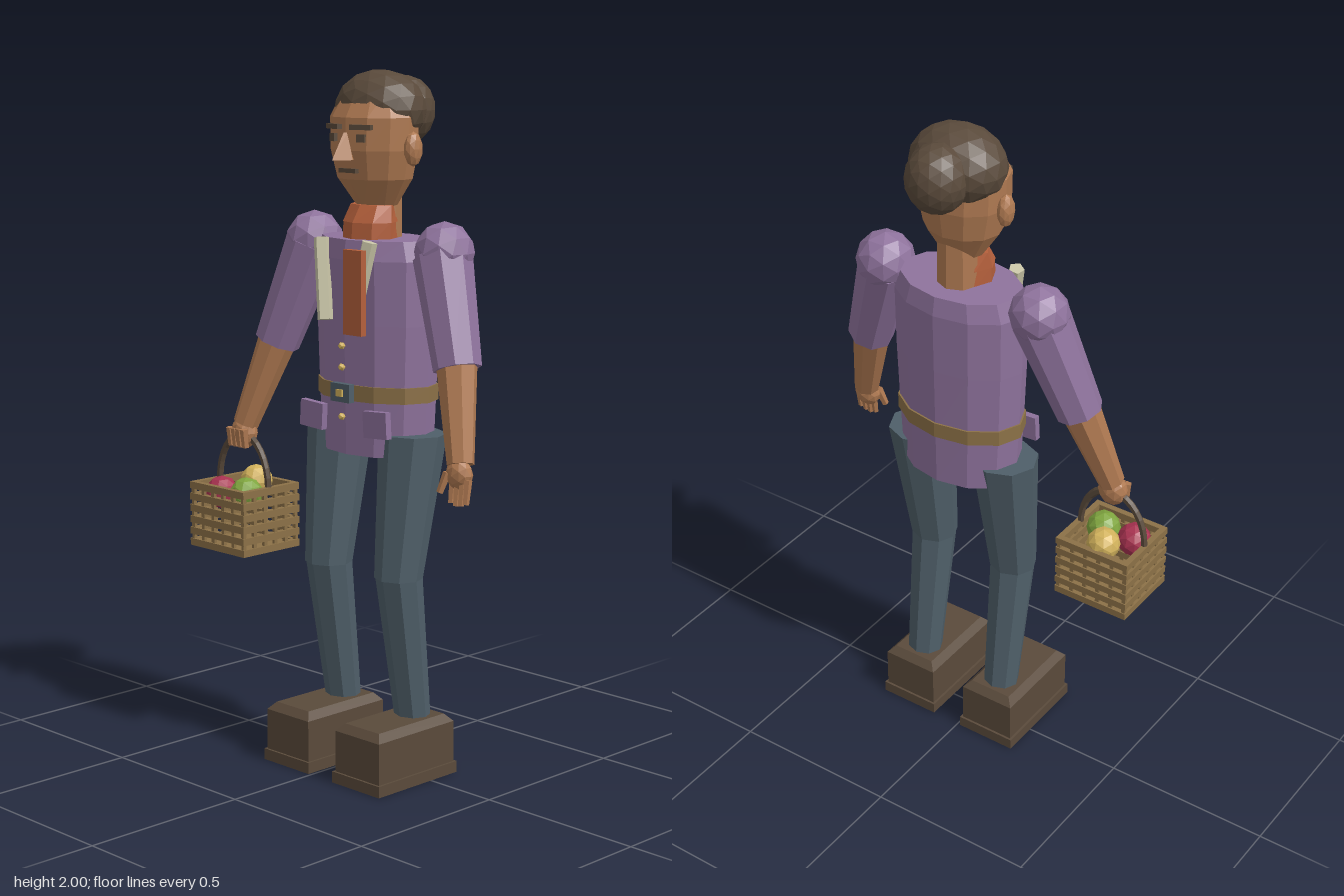
import * as THREE from 'three';

const mat = (name, color) => {
  const m = new THREE.MeshStandardMaterial({ color });
  m.name = name;
  return m;
};

export function createModel() {
  const purple = mat('purple cloth', 0x8f739d);
  const slate = mat('slate cloth', 0x4f5f69);
  const skin = mat('skin', 0xb07a52);
  const brown = mat('dark brown', 0x5a4a3b);
  const orange = mat('orange scarf', 0xb5603c);
  const cream = mat('cream', 0xc8c4a6);
  const tan = mat('tan', 0x8c7147);
  const red = mat('red fruit', 0xa83250);
  const green = mat('green fruit', 0x7fa53f);
  const yellow = mat('yellow', 0xd2b25c);

  const model = new THREE.Group();
  model.name = 'villager';
  const body = new THREE.Group();
  body.name = 'figure';
  body.position.x = 0.04;
  model.add(body);

  // Adds a faceted mesh
  const add = (name, geo, material, pos = [0, 0, 0], parent = body) => {
    const g = geo.index ? geo.toNonIndexed() : geo;
    g.computeVertexNormals();
    const mesh = new THREE.Mesh(g, material);
    mesh.name = name;
    mesh.position.set(...pos);
    parent.add(mesh);
    return mesh;
  };
  const box = (name, size, pos, material, parent) =>
    add(name, new THREE.BoxGeometry(...size), material, pos, parent);
  const ball = (name, pos, [rx, ry, rz], material, detail = 1, parent = body) =>
    add(name, new THREE.IcosahedronGeometry(1, detail).scale(rx, ry, rz), material, pos, parent);

  // Tapered limb between two points
  const limb = (name, a, b, ra, rb, material, sides = 8, parent = body) => {
    const p = new THREE.Vector3(...a), q = new THREE.Vector3(...b);
    const dir = q.clone().sub(p);
    const m = add(name, new THREE.CylinderGeometry(rb, ra, dir.length(), sides), material,
      p.clone().add(q).multiplyScalar(0.5).toArray(), parent);
    m.quaternion.setFromUnitVectors(new THREE.Vector3(0, 1, 0), dir.normalize());
    return m;
  };

  // Closed loft through elliptical rings [y, cx, cz, rx, rz], bottom to top
  const loft = (rings, n) => {
    const pos = [], idx = [];
    rings.forEach(([y, cx, cz, rx, rz]) => {
      for (let j = 0; j < n; j++) {
        const a = (j / n) * Math.PI * 2;
        pos.push(cx + rx * Math.sin(a), y, cz + rz * Math.cos(a));
      }
    });
    for (let i = 0; i < rings.length - 1; i++) {
      for (let j = 0; j < n; j++) {
        const a = i * n + j, b = i * n + (j + 1) % n;
        idx.push(a, b, b + n, a, b + n, a + n);
      }
    }
    const top = (rings.length - 1) * n;
    for (let j = 1; j < n - 1; j++) idx.push(0, j + 1, j, top, top + j, top + j + 1);
    const g = new THREE.BufferGeometry();
    g.setAttribute('position', new THREE.Float32BufferAttribute(pos, 3));
    g.setIndex(idx);
    return g;
  };

  // Coat, belt and fastenings
  add('coat', loft([
    [0.93, 0, -0.02, 0.185, 0.125], [1.1, 0, -0.02, 0.195, 0.128],
    [1.3, 0, -0.02, 0.203, 0.132], [1.48, 0, -0.02, 0.205, 0.135], [1.535, 0, -0.02, 0.185, 0.125],
  ], 12), purple);
  add('belt', loft([[1.085, 0, -0.02, 0.201, 0.134], [1.13, 0, -0.02, 0.201, 0.134]], 12), tan);
  box('buckle', [0.075, 0.052, 0.02], [0, 1.108, 0.12], slate);
  box('bucklePin', [0.025, 0.02, 0.008], [0, 1.108, 0.131], yellow);
  [1.24, 1.18, 1.04].forEach((y) => ball('button', [0, y, 0.122], [0.011, 0.011, 0.011], yellow, 0));

  // Neck and wrapped scarf
  add('neck', new THREE.CylinderGeometry(0.06, 0.062, 0.18, 8), skin, [0, 1.58, -0.03]);
  add('scarfLower', loft([[1.525, 0, 0.01, 0.08, 0.074], [1.58, 0, 0.01, 0.08, 0.07]], 8), orange);
  add('scarfUpper', loft([[1.58, 0, 0.01, 0.083, 0.07], [1.628, 0, 0, 0.074, 0.05]], 8), orange);
  box('scarfEnd', [0.07, 0.235, 0.02], [0.08, 1.398, 0.15], orange);

  // Head and face
  add('head', loft([
    [1.625, 0, -0.015, 0.065, 0.05], [1.7, 0, -0.008, 0.115, 0.098], [1.78, 0, -0.005, 0.134, 0.113],
    [1.87, 0, -0.005, 0.137, 0.11], [1.95, 0, -0.01, 0.1, 0.07], [1.985, 0, -0.015, 0.03, 0.02],
  ], 12), skin);
  add('nose', loft([[1.755, 0, 0.105, 0.027, 0.053], [1.83, 0, 0.103, 0.006, 0.01]], 4), skin);
  box('mouth', [0.066, 0.012, 0.02], [0, 1.725, 0.091], brown);
  ball('hair', [0, 1.89, -0.03], [0.142, 0.11, 0.115], brown, 2);
  ball('hairBun', [0, 1.885, -0.125], [0.088, 0.098, 0.09], brown, 2);

  // Mirrored parts: s = +1 is the model's left
  for (const s of [1, -1]) {
    const side = new THREE.Group();
    side.name = s > 0 ? 'leftSide' : 'rightSide';
    body.add(side);

    const brow = box('eyebrow', [0.066, 0.014, 0.02], [s * 0.052, 1.845, 0.097], brown, side);
    brow.rotation.y = s * 0.3;
    const eye = box('eye', [0.026, 0.022, 0.016], [s * 0.053, 1.815, 0.097], brown, side);
    eye.rotation.y = s * 0.3;
    ball('ear', [s * 0.142, 1.785, -0.015], [0.022, 0.048, 0.03], skin, 1, side);

    limb('lapel', [s * 0.095, 1.535, 0.108], [s * 0.052, 1.31, 0.135], 0.023, 0.023, cream, 5, side);
    const pocket = box('pocket', [0.09, 0.075, 0.02], [s * 0.127, 1.03, 0.11], purple, side);
    pocket.rotation.z = s * 0.06;

    // Arm
    ball('shoulder', [s * 0.257, 1.51, -0.02], [0.085, 0.085, 0.085], purple, 1, side);
    limb('sleeve', [s * 0.255, 1.5, -0.015], [s * 0.36, 1.205, 0.035], 0.083, 0.067, purple, 8, side);
    limb('forearm', [s * 0.347, 1.25, 0.027], [s * 0.432, 0.96, 0.098], 0.06, 0.038, skin, 8, side);

    // Leg and shoe
    add('thigh', loft([[0.585, s * 0.142, 0.038, 0.07, 0.068], [0.995, s * 0.145, -0.015, 0.098, 0.095]], 8), slate, undefined, side);
    add('shin', loft([[0.17, s * 0.142, -0.02, 0.054, 0.05], [0.6, s * 0.142, 0.038, 0.069, 0.066]], 8), slate, undefined, side);
    const w = 0.067, l = 0.132;
    const outline = new THREE.Shape([[-w, -l], [w, -l], [w, l], [-w, l]].map((p) => new THREE.Vector2(...p)));
    const upper = new THREE.ExtrudeGeometry(outline, {
      depth: 0.12, bevelEnabled: true, bevelSize: 0.02, bevelThickness: 0.022, bevelSegments: 1,
    }).rotateX(-Math.PI / 2);
    add('shoe', upper, brown, [s * 0.143, 0.033, 0.052], side);
    box('sole', [0.188, 0.033, 0.318], [s * 0.143, 0.0165, 0.052], brown, side);
  }

  // Open left hand
  ball('leftPalm', [0.434, 0.935, 0.105], [0.042, 0.044, 0.032], skin);
  for (let i = 0; i < 4; i++) {
    const x = 0.418 + i * 0.018;
    limb('finger', [x, 0.925, 0.112], [x + 0.002, 0.85 + Math.abs(i - 1.3) * 0.006, 0.122], 0.012, 0.009, skin, 5);
  }
  limb('thumb', [0.41, 0.94, 0.125], [0.396, 0.885, 0.14], 0.013, 0.01, skin, 5);

  // Right fist around the handle
  ball('rightFist', [-0.436, 0.935, 0.1], [0.045, 0.05, 0.036], skin);
  for (let i = 0; i < 4; i++) {
    const x = -0.466 + i * 0.02;
    limb('grippingFinger', [x, 0.95, 0.128], [x, 0.895, 0.122], 0.013, 0.011, skin, 5);
  }

  // Basket of fruit
  const basket = new THREE.Group();
  basket.name = 'basket';
  basket.position.set(-0.4, 0, 0.098);
  model.add(basket);
  const hx = 0.11, hz = 0.102;
  box('basketFloor', [0.22, 0.015, 0.205], [0, 0.597, 0], tan, basket);
  for (let i = 0; i < 6; i++) {
    const y = 0.601 + i * 0.0345;
    for (const s of [1, -1]) {
      box('slat', [0.238, 0.021, 0.018], [0, y, s * hz], tan, basket);
      box('slat', [0.018, 0.021, 0.222], [s * hx, y, 0], tan, basket);
    }
  }
  for (let i = 0; i < 6; i++) {
    const t = i / 2.5 - 1;
    for (const s of [1, -1]) {
      box('stave', [0.012, 0.185, 0.01], [t * hx, 0.685, s * hz], tan, basket);
      box('stave', [0.01, 0.185, 0.012], [s * hx, 0.685, t * hz], tan, basket);
    }
  }
  add('handle', new THREE.TorusGeometry(0.107, 0.01, 6, 16, Math.PI).scale(1, 1.38, 1), brown, [0, 0.78, 0.002], basket);
  ball('redFruit', [-0.048, 0.752, 0.046], [0.05, 0.05, 0.05], red, 1, basket);
  ball('greenFruit', [0.05, 0.76, 0.037], [0.05, 0.05, 0.05], green, 1, basket);
  ball('yellowFruit', [-0.005, 0.78, -0.053], [0.049, 0.049, 0.049], yellow, 1, basket);

  return model;
}
